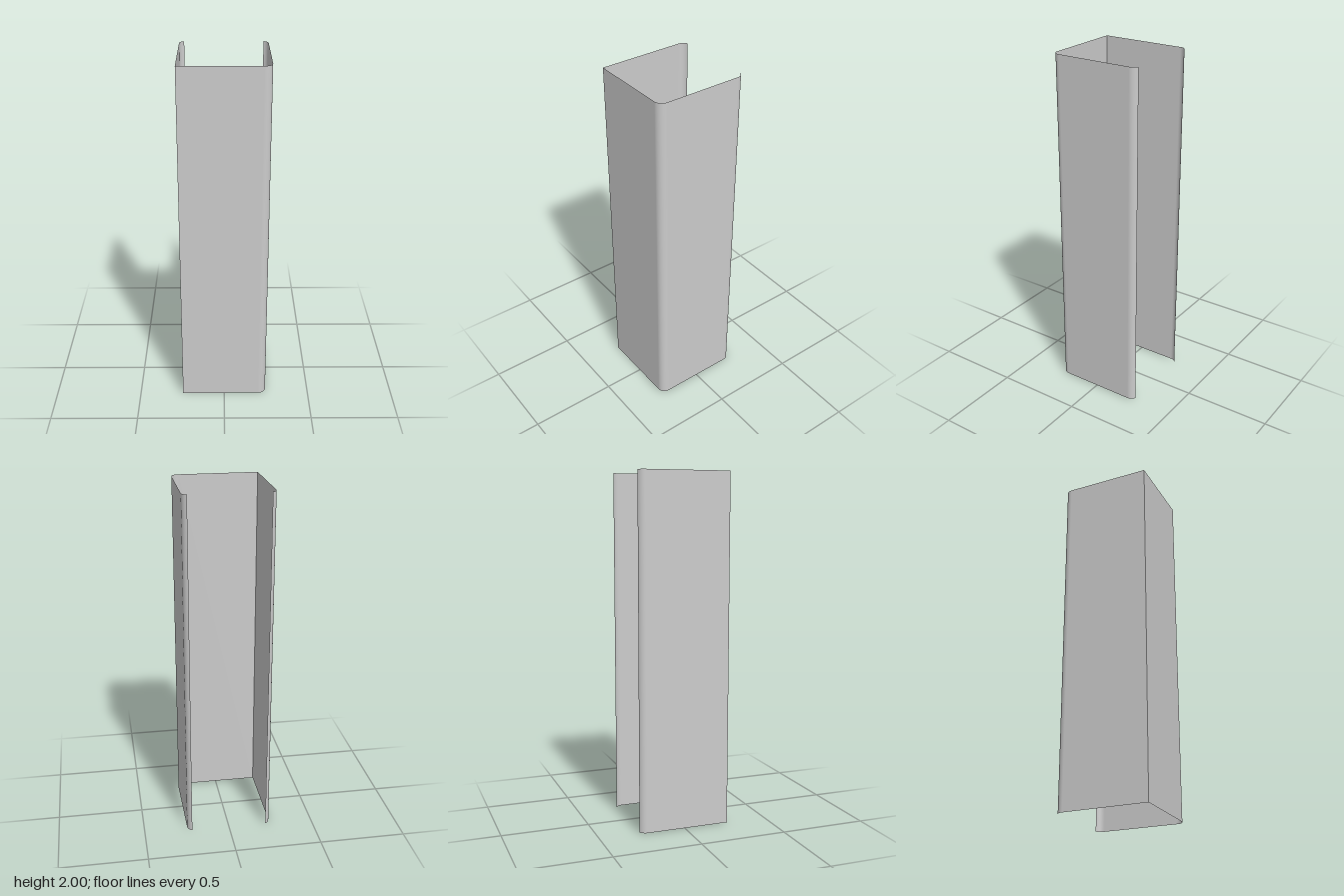
import * as THREE from 'three';

// Thin bent-sheet channel: front web, two flanges, one rounded corner, curled rear lips
export function createModel() {
  const W = 0.247, D = 0.2625, H = 2, R = 0.045;
  const lipAngle = THREE.MathUtils.degToRad(66);
  const lipZ = -D + R * Math.sin(lipAngle); // where the flanges start to curl

  const material = new THREE.MeshStandardMaterial({ color: 0xcccccc, side: THREE.DoubleSide });
  const group = new THREE.Group();
  group.name = 'channel';

  const add = (name, geometry, x, z, turn = 0) => {
    const mesh = new THREE.Mesh(geometry, material);
    mesh.name = name;
    mesh.position.set(x, H / 2, z);
    mesh.rotation.y = turn;
    group.add(mesh);
  };
  const panel = (width) => new THREE.PlaneGeometry(width, H);
  const bend = (start, sweep) => new THREE.CylinderGeometry(R, R, H, 10, 1, true, start, sweep);

  // Flat front web, sharp at -x and stopping at the rounded corner at +x
  add('frontWeb', panel(2 * W - R), -R / 2, D);
  add('roundedCorner', bend(0, Math.PI / 2), W - R, D - R);

  // Side flanges
  const rightDepth = D - R - lipZ, leftDepth = D - lipZ;
  add('rightFlange', panel(rightDepth), W, lipZ + rightDepth / 2, Math.PI / 2);
  add('leftFlange', panel(leftDepth), -W, lipZ + leftDepth / 2, -Math.PI / 2);

  // Inward-curling lips at the open back
  add('rightLip', bend(Math.PI / 2, lipAngle), W - R, lipZ);
  add('leftLip', bend(-Math.PI / 2 - lipAngle, lipAngle), -W + R, lipZ);

  return group;
}
